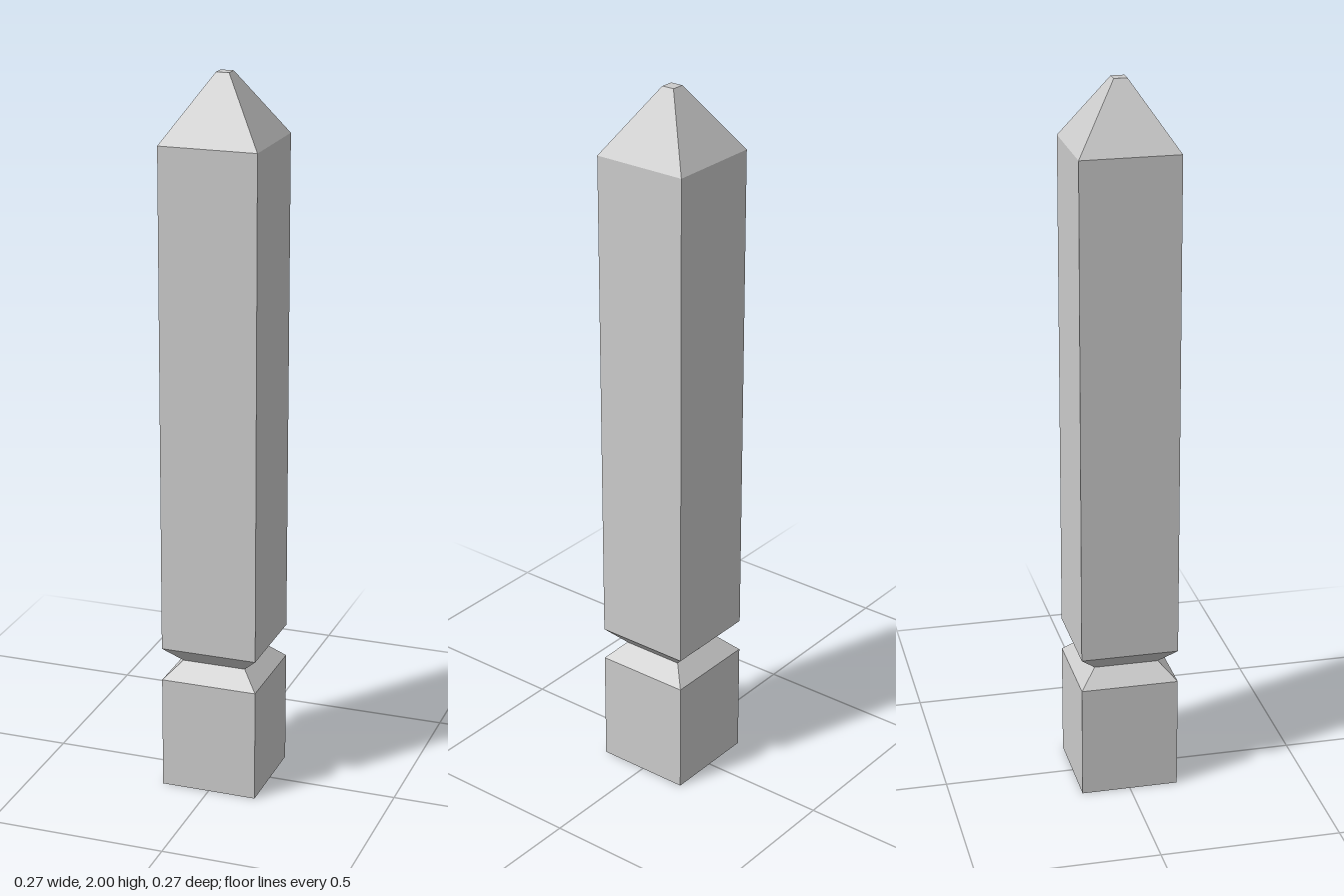
import * as THREE from 'three';

const HALF = 0.136, WAIST = 0.09, TIP = 0.018;
const material = new THREE.MeshStandardMaterial({ color: 0xcccccc, flatShading: true });

// Four-sided turned section; profile is [half width, height] from bottom to top
function squareSection(name, profile) {
  const points = profile.map(([half, y]) => new THREE.Vector2(half * Math.SQRT2, y));
  const geometry = new THREE.LatheGeometry(points, 4, Math.PI / 4).toNonIndexed();
  geometry.computeVertexNormals();
  const mesh = new THREE.Mesh(geometry, material);
  mesh.name = name;
  return mesh;
}

export function createModel() {
  const post = new THREE.Group();
  post.name = 'post';
  post.add(
    // Square foot, closed underneath
    squareSection('base', [[0, 0], [HALF, 0], [HALF, 0.32]]),
    // V-shaped groove around the post
    squareSection('groove', [[HALF, 0.32], [WAIST, 0.367], [HALF, 0.414]]),
    // Long straight shaft
    squareSection('shaft', [[HALF, 0.414], [HALF, 1.822]]),
    // Pyramid cap with a small flat tip
    squareSection('cap', [[HALF, 1.822], [TIP, 2], [0, 2]])
  );
  return post;
}
